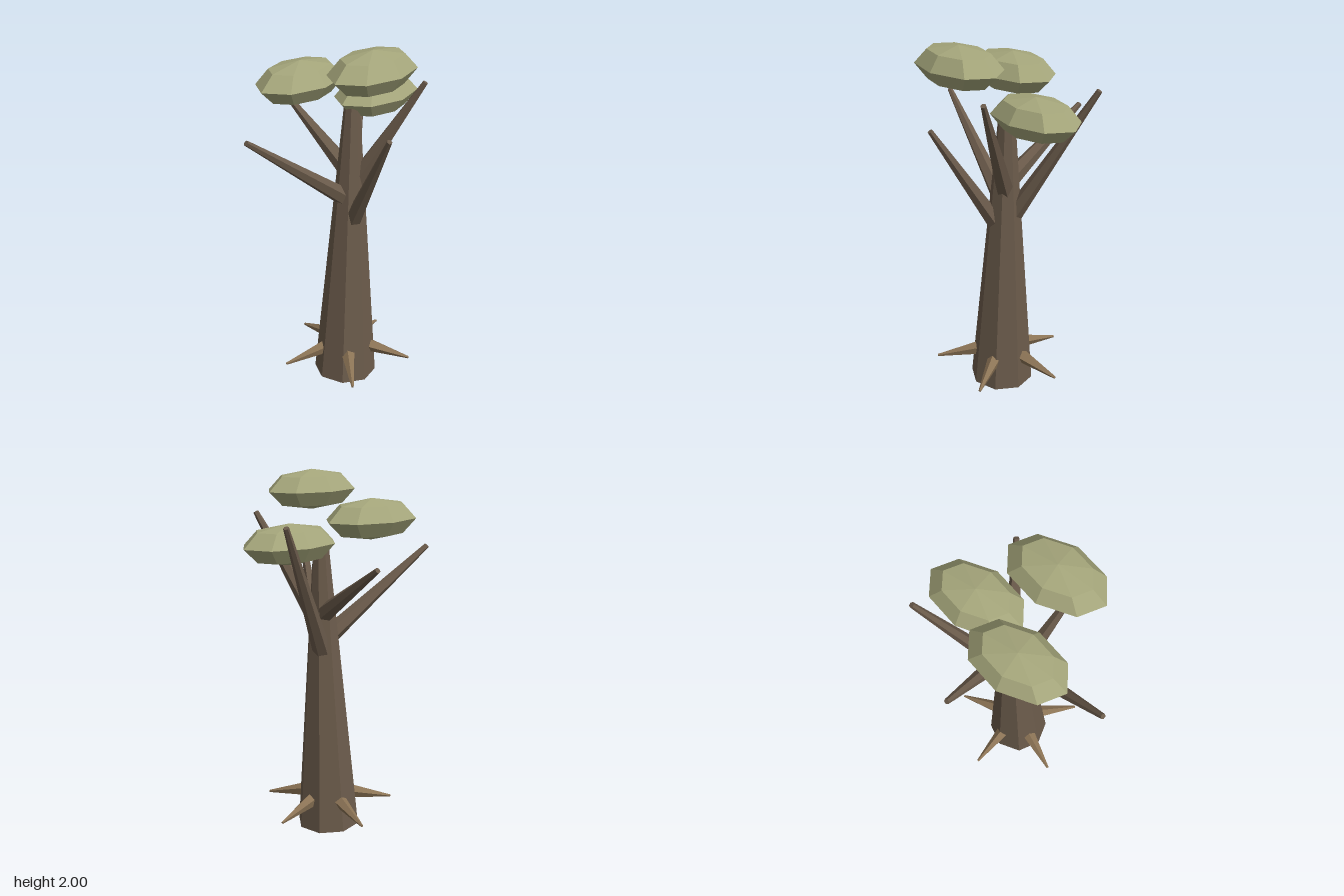
import * as THREE from 'three';

const UP = new THREE.Vector3(0, 1, 0);

export function createModel() {
  const tree = new THREE.Group();
  tree.name = 'tree';

  const flat = (name, color) => {
    const m = new THREE.MeshStandardMaterial({ color, flatShading: true });
    m.name = name;
    return m;
  };
  const bark = flat('bark brown', 0x6b5b4b);
  const rootWood = flat('root tan', 0x8b7355);
  const leaf = flat('dusty leaf green', 0xa5a67b);

  // Tapered limb running from one point to another
  function limb(name, from, to, rFrom, rTo, sides, material, spin = 0) {
    const a = new THREE.Vector3(...from);
    const b = new THREE.Vector3(...to);
    const dir = b.clone().sub(a);
    const geo = new THREE.CylinderGeometry(rTo, rFrom, dir.length(), sides);
    geo.rotateY(spin);
    const mesh = new THREE.Mesh(geo, material);
    mesh.name = name;
    mesh.position.copy(a).add(b).multiplyScalar(0.5);
    mesh.quaternion.setFromUnitVectors(UP, dir.normalize());
    tree.add(mesh);
  }

  // Trunk, leaning slightly to its left
  limb('trunk', [0.035, 0.006, 0.053], [0.08, 1.66, 0.053], 0.177, 0.04, 8, bark, -0.15);

  // Bare branches: base, tip
  const branches = [
    [[0.05, 1.1, 0.05], [-0.56, 1.57, -0.085]],
    [[0.055, 0.94, 0.068], [-0.078, 1.57, 0.435]],
    [[0.08, 1.17, 0.06], [0.275, 1.78, 0.38]],
    [[0.07, 0.99, 0.04], [0.482, 1.78, -0.205]],
    [[0.08, 1.24, 0.04], [0.108, 1.565, -0.455]],
  ];
  branches.forEach(([base, tip], i) =>
    limb('branch' + (i + 1), base, tip, 0.053, 0.015, 6, bark));

  // Pointed roots around the foot, evenly spaced
  for (let i = 0; i < 5; i++) {
    const angle = THREE.MathUtils.degToRad(61 + 72 * i);
    const at = (d, y) => [0.04 + d * Math.cos(angle), y, 0.053 + d * Math.sin(angle)];
    limb('root' + (i + 1), at(0.1, 0.187), at(0.374, 0.122), 0.044, 0.007, 5, rootWood);
  }

  // Flattened leaf pads
  const pads = [
    [-0.03, 1.89, 0.279],
    [-0.102, 1.768, -0.149],
    [0.286, 1.647, 0.048],
  ];
  pads.forEach((p, i) => {
    const pad = new THREE.Mesh(new THREE.SphereGeometry(1, 8, 4), leaf);
    pad.name = 'leafPad' + (i + 1);
    pad.scale.set(0.282, 0.109, 0.181);
    pad.position.set(...p);
    tree.add(pad);
  });

  return tree;
}
